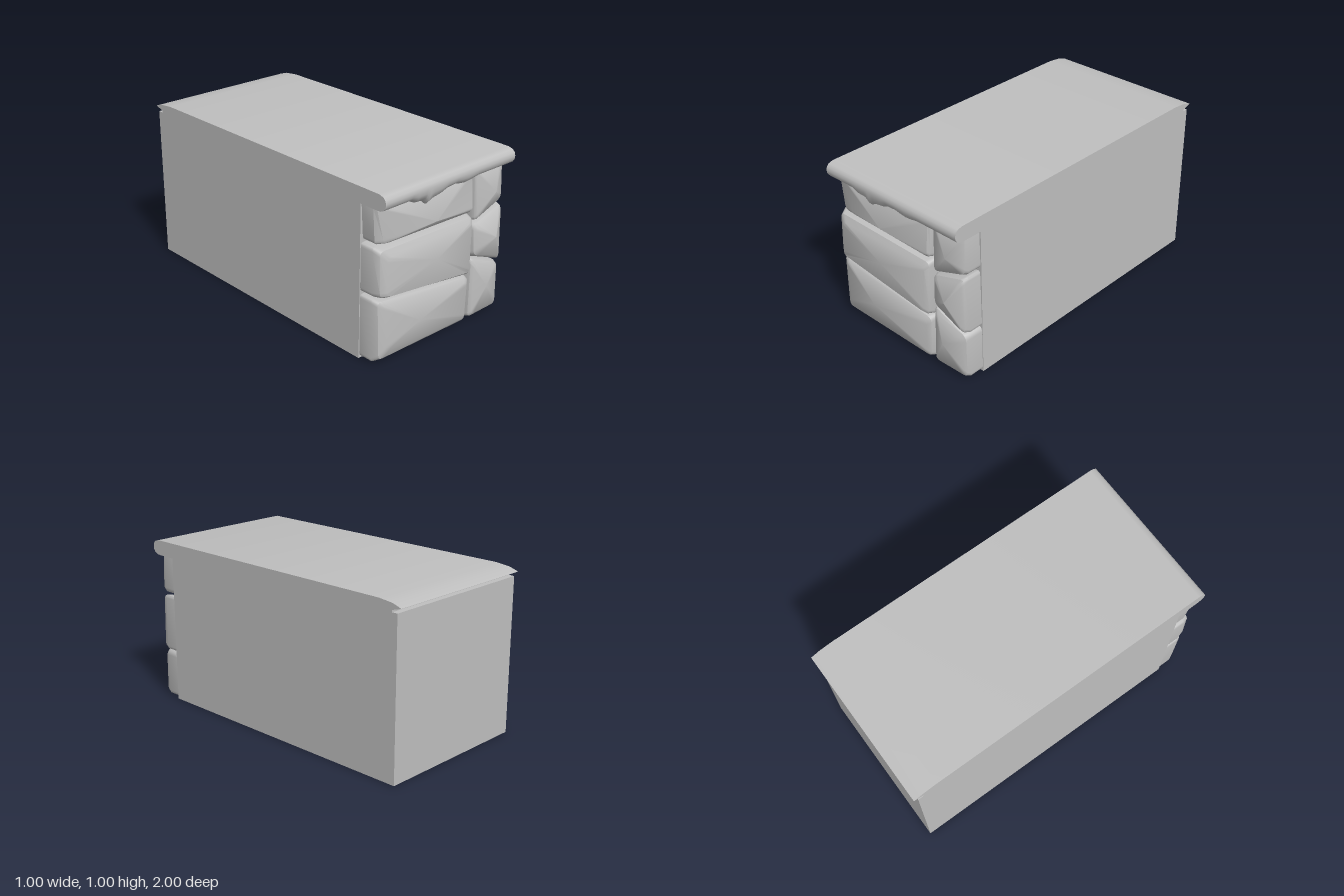
import * as THREE from 'three';
import { toCreasedNormals } from 'three/addons/utils/BufferGeometryUtils.js';

const stoneGrey = new THREE.MeshStandardMaterial({ color: 0xbfbfbf });
stoneGrey.name = 'stoneGrey';

// Rounds each corner of a closed loop of [x, y, z] points
function roundLoop(corners, r) {
  const pts = corners.map(c => new THREE.Vector3(...c));
  const out = [];
  pts.forEach((p, i) => {
    const toward = q => p.clone().lerp(q, Math.min(0.4, r / p.distanceTo(q)));
    const before = toward(pts[(i + pts.length - 1) % pts.length]);
    const after = toward(pts[(i + 1) % pts.length]);
    out.push(...new THREE.QuadraticBezierCurve3(before, p, after).getPoints(4));
  });
  return out;
}

// A chiselled stone: straight sides, worn bevel, faceted face rising to a peak
function stoneGeometry(outer, inner, peak) {
  const at = z => outer.map(([x, y]) => [x, y, z]);
  const shoulder = outer.map(([x, y], i) => {
    const [u, v, w] = inner[i];
    return [x + (u - x) * 0.3, y + (v - y) * 0.3, 0.905 + (w - 0.905) * 0.68];
  });
  const loops = [
    roundLoop(at(0.815), 0.025), roundLoop(at(0.905), 0.025),
    roundLoop(shoulder, 0.03), roundLoop(inner, 0.025),
  ];
  const top = new THREE.Vector3(...peak);
  const tris = [];
  const n = loops[0].length;
  for (let i = 0; i < n; i++) {
    const j = (i + 1) % n;
    for (let k = 0; k < loops.length - 1; k++) {
      const a = loops[k], b = loops[k + 1];
      tris.push(a[i], a[j], b[j], a[i], b[j], b[i]);
    }
    tris.push(loops[3][i], loops[3][j], top);
  }
  return toCreasedNormals(new THREE.BufferGeometry().setFromPoints(tris), 0.6);
}

// Corners run top-left, bottom-left, bottom-right, top-right
const stones = [
  { name: 'upperLongStone',
    outer: [[-0.495, 0.935], [-0.48, 0.7], [0.243, 0.68], [0.245, 0.935]],
    inner: [[-0.475, 0.92, 0.93], [-0.36, 0.715, 0.95], [0.225, 0.7, 0.95], [0.225, 0.92, 0.93]],
    peak: [-0.1, 0.745, 0.985] },
  { name: 'middleLongStone',
    outer: [[-0.495, 0.69], [-0.495, 0.405], [0.235, 0.305], [0.242, 0.665]],
    inner: [[-0.44, 0.635, 0.965], [-0.45, 0.415, 0.975], [0.2, 0.335, 0.97], [0.215, 0.63, 0.96]],
    peak: [-0.1, 0.53, 1.0] },
  { name: 'lowerLongStone',
    outer: [[-0.495, 0.39], [-0.495, 0.01], [0.228, 0.01], [0.235, 0.295]],
    inner: [[-0.455, 0.36, 0.955], [-0.43, 0.09, 0.965], [0.195, 0.04, 0.955], [0.205, 0.265, 0.955]],
    peak: [-0.2, 0.19, 0.985] },
  { name: 'upperShortStone',
    outer: [[0.258, 0.935], [0.255, 0.608], [0.494, 0.685], [0.49, 0.935]],
    inner: [[0.27, 0.92, 0.93], [0.275, 0.635, 0.945], [0.475, 0.71, 0.94], [0.475, 0.92, 0.93]],
    peak: [0.39, 0.77, 0.975] },
  { name: 'middleShortStone',
    outer: [[0.252, 0.595], [0.25, 0.398], [0.496, 0.305], [0.49, 0.668]],
    inner: [[0.275, 0.575, 0.945], [0.3, 0.435, 0.96], [0.47, 0.34, 0.955], [0.475, 0.64, 0.945]],
    peak: [0.39, 0.5, 0.995] },
  { name: 'lowerShortStone',
    outer: [[0.25, 0.392], [0.24, 0.01], [0.496, 0.01], [0.496, 0.295]],
    inner: [[0.27, 0.355, 0.945], [0.265, 0.035, 0.95], [0.475, 0.045, 0.945], [0.465, 0.27, 0.945]],
    peak: [0.35, 0.2, 0.98] },
];

// How far the worn front lip hangs down at each x
const dripPoints = [[-0.5, 0], [-0.3, 0], [-0.26, 0.022], [-0.2, 0.025], [-0.17, 0.055],
  [-0.14, 0.037], [-0.08, 0.028], [-0.03, 0.006], [0.04, 0], [0.08, 0.01],
  [0.12, 0.016], [0.16, 0.011], [0.21, 0], [0.5, 0]];
function drip(x) {
  for (let i = 1; i < dripPoints.length; i++) {
    const [x0, d0] = dripPoints[i - 1], [x1, d1] = dripPoints[i];
    if (x <= x1) return d0 + (d1 - d0) * (x - x0) / (x1 - x0);
  }
  return 0;
}

// Top slab: side profile in (z, y), swept across x, with the lip pulled down
function slabGeometry() {
  const profile = [[-1, 0.975], [-0.94, 0.957], [-0.94, 0.945], [0.82, 0.945], [0.82, 0.91],
    [0.89, 0.91], [0.94, 0.911], [0.965, 0.913], [0.985, 0.923], [0.997, 0.94], [1, 0.96],
    [0.995, 0.98], [0.98, 0.995], [0.95, 1.003], [-0.85, 1.003], [-0.94, 0.994]];
  const shape = new THREE.Shape(profile.map(p => new THREE.Vector2(...p)));
  const geo = new THREE.ExtrudeGeometry(shape, { depth: 1, steps: 100, bevelEnabled: false });
  geo.rotateY(-Math.PI / 2).translate(0.5, 0, 0);
  const pos = geo.attributes.position;
  for (let i = 0; i < pos.count; i++) {
    const y = pos.getY(i);
    if (pos.getZ(i) < 0.93 || y > 0.955) continue;
    pos.setY(i, y - drip(pos.getX(i)) * (0.955 - y) / 0.043);
  }
  return toCreasedNormals(geo, 0.6);
}

export function createModel() {
  const group = new THREE.Group();
  group.name = 'stoneLedgeBlock';
  const add = (name, geo) => {
    const mesh = new THREE.Mesh(geo, stoneGrey);
    mesh.name = name;
    group.add(mesh);
  };

  // Plain core behind the stones
  add('core', new THREE.BoxGeometry(1, 0.945, 1.795).translate(0, 0.4725, -0.0775));
  add('topSlab', slabGeometry());
  for (const s of stones) add(s.name, stoneGeometry(s.outer, s.inner, s.peak));
  return group;
}
